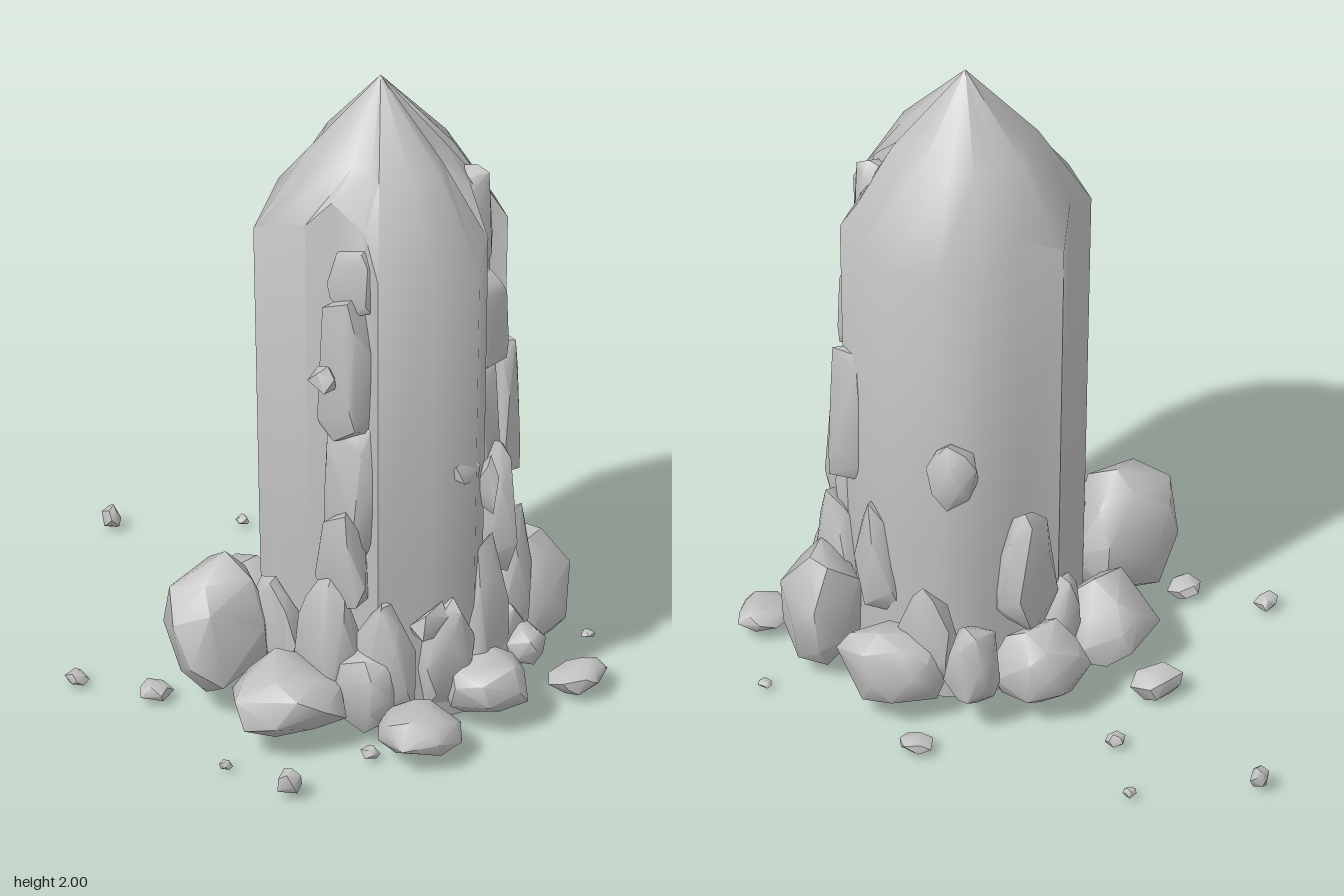
import * as THREE from 'three';
import { toCreasedNormals } from 'three/addons/utils/BufferGeometryUtils.js';
import { ConvexGeometry } from 'three/addons/geometries/ConvexGeometry.js';

// Double-sided because the column is hollow and open at the foot
const stone = new THREE.MeshStandardMaterial({ color: 0xc0c0c0, side: THREE.DoubleSide });
stone.name = 'grey stone';

let seed = 7;
const rand = () => (seed = (seed * 16807) % 2147483647) / 2147483647;

function addMesh(group, name, geometry) {
  const mesh = new THREE.Mesh(geometry, stone);
  mesh.name = name;
  group.add(mesh);
}

// Chiselled convex lump that exactly fills the box; a low bulge exponent makes it blockier,
// taper narrows its top, lean tips it outward
function addRock(group, name, [x0, x1, y0, y1, z0, z1], count, bulge = 0.85, taper = 0.2, lean = 0.12) {
  const out = new THREE.Vector2((x0 + x1) / 2 - 0.1, (z0 + z1) / 2 - 0.3).normalize();
  const block = (c) => Math.sign(c) * Math.abs(c) ** bulge;
  const points = [];
  for (let i = 0; i < count; i++) {
    const v = 1 - 2 * (i + 0.5) / count, a = i * 2.4 + rand() * 0.7;
    const r = Math.sqrt(1 - v * v), k = 0.86 + rand() * 0.24;
    const narrow = k * (1 - taper * (v + 1) / 2);
    points.push(new THREE.Vector3(
      block(r * Math.cos(a)) * narrow + out.x * lean * v, block(v) * k,
      block(r * Math.sin(a)) * narrow + out.y * lean * v));
  }
  const box = new THREE.Box3().setFromPoints(points);
  const size = box.getSize(new THREE.Vector3());
  for (const p of points) {
    p.sub(box.min).divide(size);
    p.set(x0 + p.x * (x1 - x0), y0 + p.y * (y1 - y0), z0 + p.z * (z1 - z0));
  }
  addMesh(group, name, toCreasedNormals(new ConvexGeometry(points), 0.85));
}

// Fluted column, open below, with two chipped grooves, rising to a faceted point
function crystalGeometry() {
  const apex = [0.07, 0.3];
  const outline = [
    [0.07, -0.06], [0.19, 0.01], [0.33, 0.04], [0.4, 0.15], [0.44, 0.3], [0.42, 0.42], [0.35, 0.54],
    [0.32, 0.5], [0.2, 0.53], [0.17, 0.63], [0.08, 0.68], [-0.06, 0.63], [-0.2, 0.54],
    [-0.17, 0.46], [-0.18, 0.34], [-0.23, 0.28], [-0.22, 0.15], [-0.2, 0.05], [-0.05, 0.01],
  ];
  // Each vertical edge ends where it meets the sloping cap, so outer edges stop lower
  const shoulder = ([x, z]) => 1.75 - 1.67 * (Math.hypot(x - apex[0], z - apex[1]) - 0.22);
  const rings = [[() => 0.02, 0.92], [() => 0.5, 0.95], [shoulder, 1], [() => 1.76, 0.58], [() => 2, 0]];
  const n = outline.length, positions = [], index = [];
  for (const [height, s] of rings) {
    for (const p of outline) {
      positions.push(apex[0] + (p[0] - apex[0]) * s, height(p), apex[1] + (p[1] - apex[1]) * s);
    }
  }
  for (let r = 0; r < rings.length - 1; r++) {
    for (let i = 0; i < n; i++) {
      const a = r * n + i, b = r * n + (i + 1) % n;
      index.push(b, a, a + n);
      if (r < rings.length - 2) index.push(b, a + n, b + n);
    }
  }
  const g = new THREE.BufferGeometry();
  g.setAttribute('position', new THREE.Float32BufferAttribute(positions, 3));
  g.setIndex(index);
  return toCreasedNormals(g, 0.95);
}

export function createModel() {
  const model = new THREE.Group();
  model.name = 'crystal on rocks';
  addMesh(model, 'crystalColumn', crystalGeometry());

  // Boulders around the foot: x, y and z ranges
  const boulders = [
    [-0.54, -0.18, 0.08, 0.48, -0.08, 0.2], [-0.56, -0.22, 0.04, 0.25, 0.2, 0.52],
    [-0.22, 0.07, 0.04, 0.3, -0.23, 0.06], [0.08, 0.34, 0.04, 0.28, -0.2, 0.06],
    [0.34, 0.6, 0.05, 0.29, 0.1, 0.4], [0.32, 0.56, 0.04, 0.42, 0.42, 0.64],
    [-0.04, 0.22, 0.04, 0.22, 0.58, 0.83], [-0.32, -0.08, 0.04, 0.16, 0.58, 0.82],
    [0.22, 0.35, 0.1, 0.22, 0.59, 0.73], [0.3, 0.48, 0.02, 0.1, 0.71, 0.86],
    [-0.3, -0.14, 0.04, 0.3, 0.4, 0.62], [0.14, 0.38, 0.03, 0.28, 0.46, 0.66],
    [0.33, 0.48, 0.08, 0.36, -0.06, 0.09],
  ];
  boulders.forEach((b) => addRock(model, 'boulder', b, 24));

  // Upright shards leaning against the column
  const shards = [
    [0.09, 0.27, 0.2, 0.65, -0.07, 0.07], [0.3, 0.46, 0.2, 0.64, 0.28, 0.43],
    [0.24, 0.4, 0.1, 0.56, 0.44, 0.63], [0.06, 0.24, 0.1, 0.57, 0.5, 0.69],
    [-0.1, 0.1, 0.05, 0.42, 0.5, 0.69], [-0.25, -0.06, 0.05, 0.45, 0.42, 0.64],
    [-0.31, -0.15, 0.1, 0.52, 0.28, 0.48], [-0.28, -0.16, 0.4, 0.73, 0.34, 0.52],
    [-0.3, -0.16, 0.15, 0.42, 0.1, 0.28], [-0.02, 0.14, 0.1, 0.36, -0.1, 0.05],
    [0.18, 0.27, 0.4, 0.85, 0.5, 0.68], [0.26, 0.35, 0.35, 0.78, 0.44, 0.58],
    [0.34, 0.47, 0.1, 0.44, 0.08, 0.28],
  ];
  shards.forEach((s) => addRock(model, 'shard', s, 18, 0.75, 0.65, 0.25));

  // Broken slabs lodged in the grooves
  const slabs = [
    [0.17, 0.3, 1.36, 1.7, 0.4, 0.56], [0.17, 0.33, 1.06, 1.35, 0.44, 0.59],
    [0.18, 0.28, 0.74, 1.08, 0.46, 0.59], [0.31, 0.41, 0.65, 1.1, 0.41, 0.56],
    [-0.21, -0.1, 1.36, 1.58, 0.33, 0.5], [-0.25, -0.13, 0.95, 1.42, 0.32, 0.5],
    [-0.23, -0.13, 0.55, 1.0, 0.32, 0.51],
  ];
  slabs.forEach((s) => addRock(model, 'slab', s, 24, 0.5, 0.2, 0));
  addRock(model, 'sideChip', [0.31, 0.44, 0.72, 0.94, 0.03, 0.19], 20);

  // Splinters breaking out of the column
  const splinters = [
    [-0.31, -0.22, 1.13, 1.21, 0.36, 0.44], [0.02, 0.08, 1.65, 1.72, 0.46, 0.53],
    [0.0, 0.14, 0.78, 0.86, 0.61, 0.67], [0.12, 0.17, 0.64, 0.84, 0.6, 0.69],
    [-0.12, 0.02, 0.3, 0.42, 0.58, 0.66],
  ];
  splinters.forEach((s) => addRock(model, 'splinter', s, 9, 0.8, 0.5));

  // Loose pebbles on the ground: x, z, half width, height
  const pebbles = [
    [-0.04, -0.31, 0.065, 0.09], [-0.57, -0.3, 0.03, 0.05], [-0.48, -0.08, 0.048, 0.06],
    [0.24, -0.38, 0.028, 0.05], [0.42, -0.57, 0.018, 0.04], [0.15, -0.835, 0.027, 0.08],
    [0.6, 0.06, 0.052, 0.05], [0.625, 0.595, 0.02, 0.03], [-0.64, 0.35, 0.018, 0.04],
    [-0.62, 0.58, 0.038, 0.09], [-0.31, 0.61, 0.026, 0.05], [0.22, 0.56, 0.04, 0.07],
    [-0.1, 0.5, 0.04, 0.06],
  ];
  pebbles.forEach(([x, z, r, h], i) =>
    addRock(model, 'pebble', [x - r, x + r, i ? 0.01 : 0, h, z - r, z + r], 14));
  return model;
}
